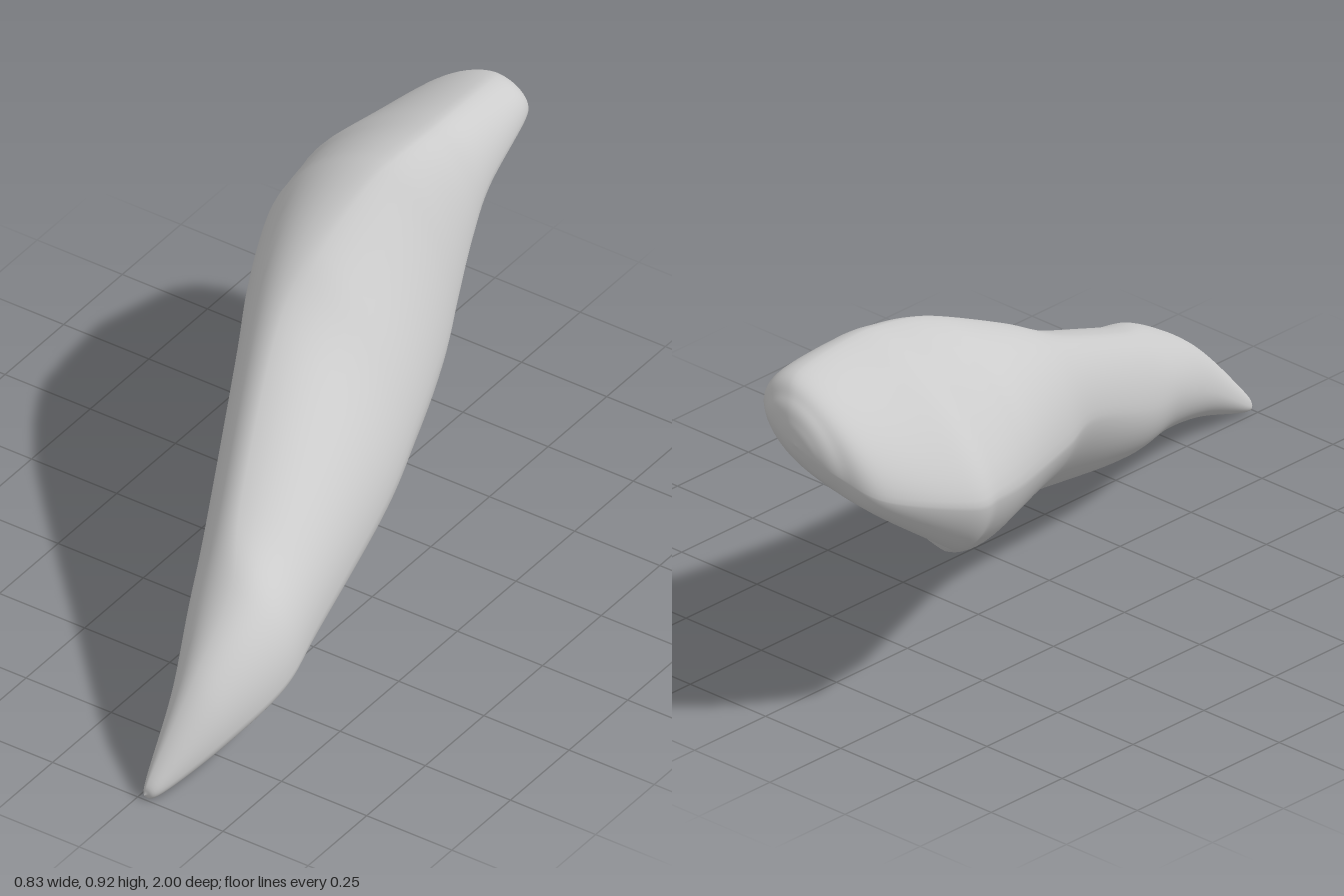
import * as THREE from 'three';

// Cross-sections from the broad back to the pointed front:
// z, left (x, y), top (x, y), right (x, y), bottom (x, y)
const SECTIONS = [
  [-1.0, -0.1, 0.77, -0.1, 0.77, -0.1, 0.77, -0.1, 0.77],
  [-0.99, -0.16, 0.745, -0.07, 0.82, -0.03, 0.79, -0.12, 0.725],
  [-0.965, -0.22, 0.71, -0.05, 0.865, 0.035, 0.81, -0.18, 0.675],
  [-0.9, -0.31, 0.655, -0.02, 0.908, 0.08, 0.82, -0.27, 0.605],
  [-0.7, -0.41, 0.6, -0.01, 0.925, 0.115, 0.76, -0.32, 0.46],
  [-0.6, -0.402, 0.59, -0.015, 0.922, 0.135, 0.68, -0.23, 0.385],
  [-0.5, -0.38, 0.58, -0.03, 0.91, 0.16, 0.57, -0.12, 0.31],
  [-0.4, -0.35, 0.575, -0.05, 0.88, 0.19, 0.48, -0.01, 0.262],
  [-0.2, -0.26, 0.54, -0.06, 0.79, 0.245, 0.39, 0.1, 0.228],
  [0.0, -0.155, 0.5, -0.03, 0.68, 0.293, 0.31, 0.17, 0.178],
  [0.4, 0.03, 0.31, 0.14, 0.48, 0.372, 0.22, 0.235, 0.105],
  [0.6, 0.12, 0.245, 0.25, 0.385, 0.41, 0.17, 0.275, 0.092],
  [0.8, 0.208, 0.145, 0.28, 0.25, 0.375, 0.11, 0.3, 0.05],
  [0.97, 0.253, 0.03, 0.272, 0.065, 0.305, 0.03, 0.28, 0.004],
  [1.0, 0.268, 0.014, 0.268, 0.014, 0.268, 0.014, 0.268, 0.014],
];
const RINGS = 112, QUARTER = 14;

// Smooth curve through one extreme of every section
const track = col => new THREE.CatmullRomCurve3(
  SECTIONS.map(s => new THREE.Vector3(s[col], s[col + 1], s[0])), false, 'catmullrom', 0.5);

// Arc power: 1 is round, larger is flatter, strongest around one z
const flatten = (z, amount, centre, spread) =>
  1 + amount * Math.exp(-(((z - centre) / spread) ** 2));

function bodyGeometry() {
  const tracks = [1, 3, 5, 7].map(track);
  const positions = [], index = [], around = QUARTER * 4;

  for (let i = 0; i <= RINGS; i++) {
    const [L, T, R, B] = tracks.map(curve => curve.getPoint(i / RINGS));
    // Quarter arcs between the four extremes, with the hollow under the back right
    const quarters = [
      [T, R, T.x, R.y, true, flatten(T.z, 0.25, -0.3, 0.4)],
      [R, B, B.x, R.y, false, flatten(T.z, 0.72, -0.73, 0.24)],
      [B, L, B.x, L.y, true, flatten(T.z, 0.38, -0.25, 0.55)],
      [L, T, T.x, L.y, false, flatten(T.z, 0.4, -0.75, 0.3)],
    ];
    for (const [from, to, cx, cy, startsVertical, power] of quarters) {
      for (let k = 0; k < QUARTER; k++) {
        const a = k / QUARTER * Math.PI / 2;
        const c = Math.cos(a) ** power, s = Math.sin(a) ** power;
        const [px, py] = startsVertical
          ? [cx + (to.x - cx) * s, cy + (from.y - cy) * c]
          : [cx + (from.x - cx) * c, cy + (to.y - cy) * s];
        positions.push(px, py, T.z);
      }
    }
  }
  for (let i = 0; i < RINGS; i++) {
    for (let j = 0; j < around; j++) {
      const a = i * around + j, b = i * around + (j + 1) % around;
      const c = a + around, d = b + around;
      index.push(a, c, b, b, c, d);
    }
  }
  const geometry = new THREE.BufferGeometry();
  geometry.setAttribute('position', new THREE.Float32BufferAttribute(positions, 3));
  geometry.setIndex(index);
  geometry.computeVertexNormals();
  return geometry;
}

export function createModel() {
  const group = new THREE.Group();
  group.name = 'taperedForm';
  const grey = new THREE.MeshStandardMaterial({ color: 0xcccccc });
  grey.name = 'light grey';
  const body = new THREE.Mesh(bodyGeometry(), grey);
  body.name = 'body';
  group.add(body);
  return group;
}
